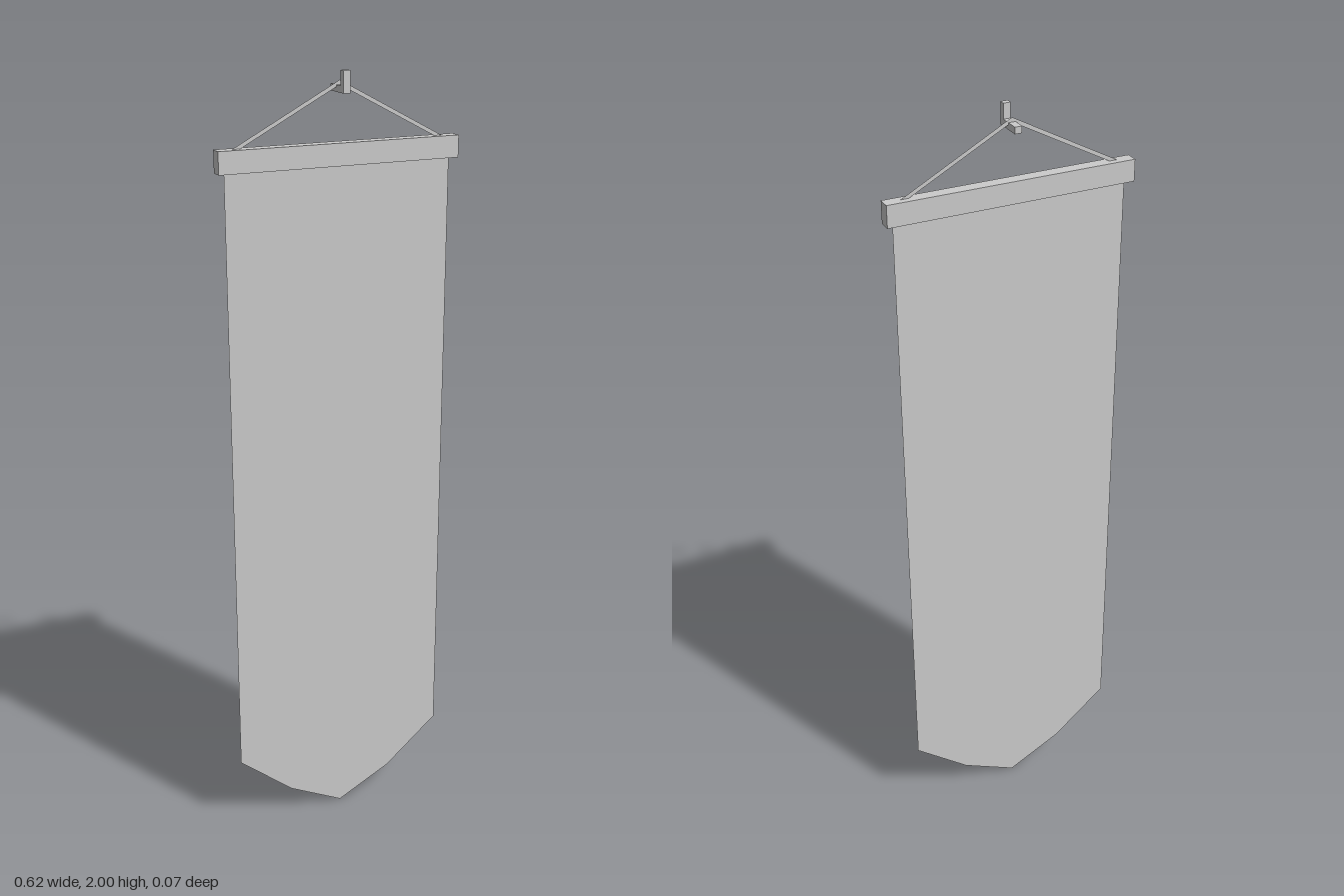
import * as THREE from 'three';

const Z = -0.005; // plane shared by cloth, bar and cord

export function createModel() {
  const group = new THREE.Group();
  const solid = new THREE.MeshStandardMaterial({ color: 0xcccccc, flatShading: true });
  const thin = new THREE.MeshStandardMaterial({ color: 0xcccccc, flatShading: true, side: THREE.DoubleSide });

  const add = (name, geometry, material, parent = group) => {
    const mesh = new THREE.Mesh(geometry, material);
    mesh.name = name;
    parent.add(mesh);
    return mesh;
  };
  // Box given by its lower and upper corners
  const box = (name, a, b, parent) =>
    add(name, new THREE.BoxGeometry(b[0] - a[0], b[1] - a[1], b[2] - a[2]), solid, parent)
      .position.set((a[0] + b[0]) / 2, (a[1] + b[1]) / 2, (a[2] + b[2]) / 2);
  // Flat sheet from an outline
  const sheet = (name, points, parent) => {
    const shape = new THREE.Shape(points.map(([x, y]) => new THREE.Vector2(x, y)));
    add(name, new THREE.ShapeGeometry(shape), thin, parent).position.z = Z;
  };

  // Hanging cloth with a pointed lower end
  sheet('cloth', [[-0.293, 1.79], [-0.293, 0.197], [-0.147, 0.075], [0, 0],
    [0.147, 0.075], [0.293, 0.197], [0.293, 1.79]]);

  // Crossbar
  box('crossbar', [-0.311, 1.778, -0.021], [0.311, 1.832, 0.011]);

  // Cord: two flat strips meeting on the hook
  const cord = new THREE.Group();
  cord.name = 'cord';
  group.add(cord);
  for (const s of [-1, 1]) {
    sheet(s < 0 ? 'rightCord' : 'leftCord',
      [[s * 0.275, 1.83], [s * 0.255, 1.83], [0, 1.964], [0, 1.975]], cord);
  }

  // L-shaped hook: peg and upturned front lip
  const hook = new THREE.Group();
  hook.name = 'hook';
  group.add(hook);
  box('hookPeg', [-0.009, 1.948, -0.037], [0.009, 1.964, 0.02], hook);
  box('hookLip', [-0.009, 1.948, 0.02], [0.009, 2, 0.035], hook);

  return group;
}
